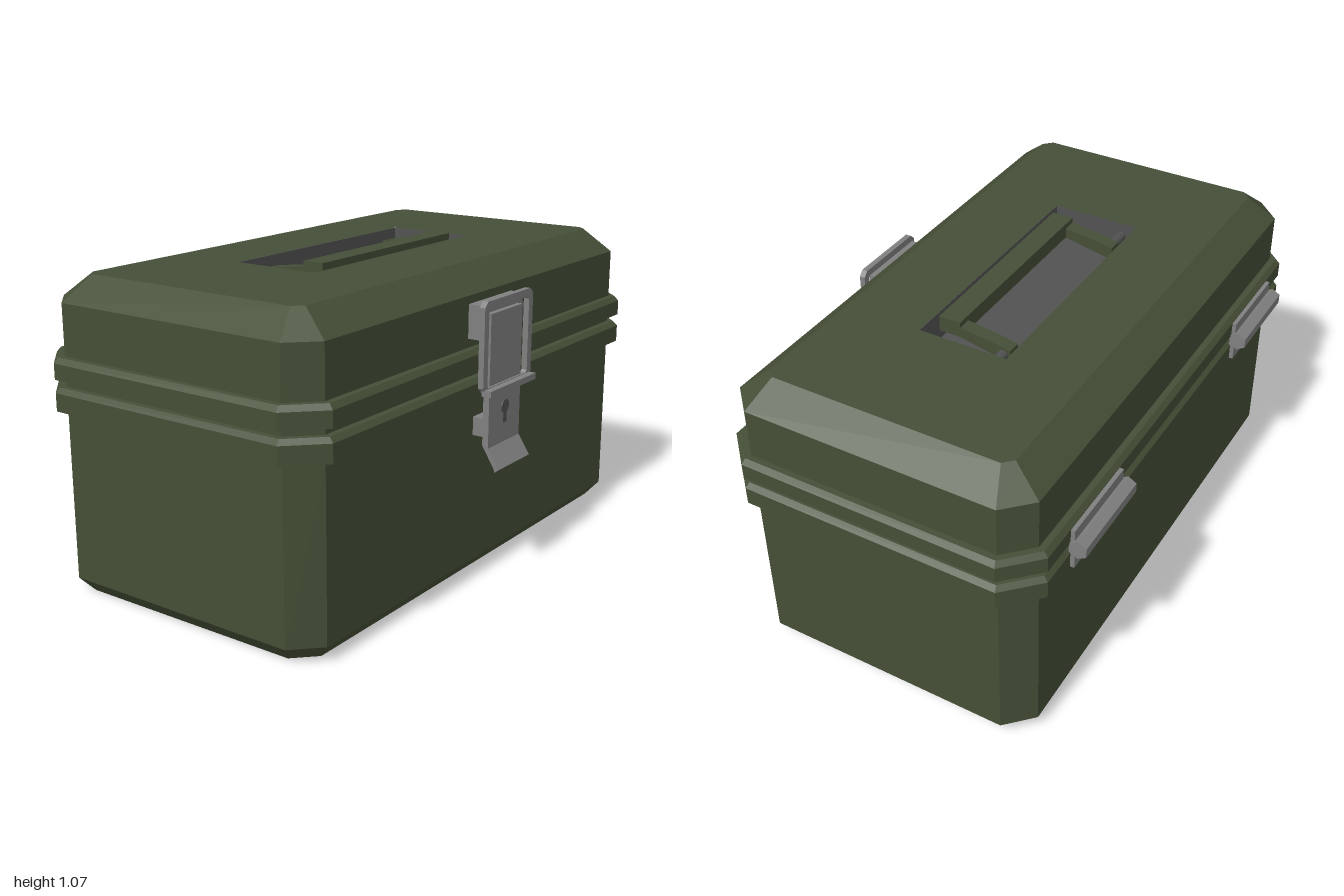
import * as THREE from 'three';

const ZC = -0.008; // depth centre of the box shell

const mat = (name, color) => {
  const m = new THREE.MeshStandardMaterial({ color });
  m.name = name;
  return m;
};

// Chamfered rectangle outline, anticlockwise seen from above
function outline(hx, hz, c) {
  return [[hx, hz - c], [hx, c - hz], [hx - c, -hz], [c - hx, -hz],
    [-hx, c - hz], [-hx, hz - c], [c - hx, hz], [hx - c, hz]];
}

// Faceted shell through rings of [y, half width, half depth, corner chamfer]
function shell(rings, capTop) {
  const pos = [];
  const loops = rings.map(([y, hx, hz, c]) => outline(hx, hz, c).map(([x, z]) => [x, y, z + ZC]));
  const tri = (a, b, c) => pos.push(...a, ...b, ...c);
  for (let r = 0; r < loops.length - 1; r++) {
    for (let i = 0; i < 8; i++) {
      const j = (i + 1) % 8, lo = loops[r], hi = loops[r + 1];
      tri(lo[i], lo[j], hi[j]);
      tri(lo[i], hi[j], hi[i]);
    }
  }
  const base = loops[0], top = loops[loops.length - 1];
  for (let i = 1; i < 7; i++) {
    tri(base[0], base[i + 1], base[i]);
    if (capTop) tri(top[0], top[i], top[i + 1]);
  }
  const g = new THREE.BufferGeometry();
  g.setAttribute('position', new THREE.Float32BufferAttribute(pos, 3));
  g.computeVertexNormals();
  return g;
}

// Box given by its minimum and maximum on each axis
function box(x0, x1, y0, y1, z0, z1) {
  return new THREE.BoxGeometry(x1 - x0, y1 - y0, z1 - z0)
    .translate((x0 + x1) / 2, (y0 + y1) / 2, (z0 + z1) / 2);
}

// Side profile of [z, y] points extruded along x
function prism(points, width, x = 0) {
  const s = new THREE.Shape(points.map(([z, y]) => new THREE.Vector2(-z, y)));
  return new THREE.ExtrudeGeometry(s, { depth: width, bevelEnabled: false })
    .rotateY(Math.PI / 2).translate(x - width / 2, 0, 0);
}

const rectPath = (Type, x0, x1, y0, y1, c) => new Type([
  [x0 + c, y0], [x1 - c, y0], [x1, y0 + c], [x1, y1 - c],
  [x1 - c, y1], [x0 + c, y1], [x0, y1 - c], [x0, y0 + c],
].map(([x, y]) => new THREE.Vector2(x, y)));

export function createModel() {
  const root = new THREE.Group();
  root.name = 'toolbox';
  const green = mat('olive green', 0x454f37);
  const steel = mat('steel grey', 0x808080);
  const dark = mat('dark grey', 0x525252);

  const add = (parent, name, geometry, material) => {
    const m = new THREE.Mesh(geometry, material);
    m.name = name;
    parent.add(m);
    return m;
  };
  const group = (name) => {
    const g = new THREE.Group();
    g.name = name;
    root.add(g);
    return g;
  };

  // Lower box with rim flange and recessed seal
  add(root, 'body', shell([
    [0, 0.92, 0.478, 0.07], [0.053, 0.965, 0.522, 0.087],
    [0.627, 0.965, 0.522, 0.087], [0.627, 1, 0.558, 0.11],
    [0.687, 1, 0.558, 0.11], [0.703, 0.985, 0.543, 0.1],
    [0.703, 0.965, 0.522, 0.087], [0.72, 0.965, 0.522, 0.087],
    [0.72, 0.92, 0.477, 0.075], [0.731, 0.92, 0.477, 0.075],
  ], true), green);

  // Lid walls and sloped shoulder
  add(root, 'lid', shell([
    [0.73, 1, 0.558, 0.11], [0.783, 1, 0.558, 0.11],
    [0.8, 0.985, 0.543, 0.1], [0.8, 0.965, 0.522, 0.087],
    [0.97, 0.965, 0.522, 0.087], [1.05, 0.868, 0.425, 0.03],
  ], false), green);

  // Lid top with the handle opening
  const X = 0.447, ZB = -0.173, ZF = 0.14, FLOOR = 0.95, TOP = 1.05;
  const topShape = new THREE.Shape(
    outline(0.868, 0.425, 0.03).map(([x, z]) => new THREE.Vector2(x, -(z + ZC))));
  topShape.holes.push(rectPath(THREE.Path, -X, X, -ZF, -ZB, 0));
  add(root, 'lidTop', new THREE.ShapeGeometry(topShape)
    .rotateX(-Math.PI / 2).translate(0, TOP, 0), green);

  // Recessed handle tray
  const tray = group('handleTray');
  const T = 0.01, Y1 = TOP - 0.001;
  add(tray, 'trayFloor', box(-X, X, FLOOR - T, FLOOR, ZB, ZF), dark);
  add(tray, 'trayBackWall', box(-X, X, FLOOR, Y1, ZB - T, ZB), dark);
  add(tray, 'trayFrontWall', box(-X, X, FLOOR, Y1, ZF, ZF + T), dark);
  for (const s of [-1, 1]) {
    const side = s < 0 ? 'Right' : 'Left';
    add(tray, 'tray' + side + 'Wall',
      box(s * X - (s < 0 ? T : 0), s * X + (s > 0 ? T : 0), FLOOR, Y1, ZB, ZF), dark);
    // Pivot pin between tray and handle arm
    add(tray, 'pivot' + side, new THREE.CylinderGeometry(0.018, 0.018, 0.08, 8)
      .rotateZ(Math.PI / 2).translate(s * 0.41, 1.0, -0.118), dark);
  }

  // Folded carrying handle
  const handle = group('handle');
  add(handle, 'grip', box(-0.372, 0.372, 1.012, 1.066, 0.038, 0.115), green);
  for (const s of [-1, 1]) {
    add(handle, s < 0 ? 'rightArm' : 'leftArm', prism(
      [[-0.142, 0.975], [0.04, 1.012], [0.04, 1.048], [-0.1, 1.03], [-0.142, 1.02]],
      0.048, s * 0.348), green);
  }

  // Front latch
  const latch = group('latch');
  add(latch, 'upperMount', box(-0.132, 0.132, 0.83, 0.943, 0.5, 0.56), steel);
  add(latch, 'lowerMount', box(-0.09, 0.09, 0.497, 0.56, 0.5, 0.56), steel);
  add(latch, 'latchPlate', prism([
    [0.557, 0.913], [0.557, 0.472], [0.603, 0.398], [0.622, 0.387],
    [0.622, 0.4], [0.579, 0.465], [0.579, 0.913],
  ].map(([z, y], i) => (i === 3 ? [0.605, 0.387] : [z, y])), 0.2), steel);
  const bail = rectPath(THREE.Shape, -0.153, 0.153, 0.66, 0.96, 0.018);
  bail.holes.push(rectPath(THREE.Path, -0.127, 0.127, 0.675, 0.934, 0.008));
  add(latch, 'bail', new THREE.ExtrudeGeometry(bail, { depth: 0.02, bevelEnabled: false })
    .translate(0, 0, 0.567), steel);
  add(latch, 'bailHook', box(-0.145, 0.145, 0.652, 0.673, 0.577, 0.612), steel);

  // Keyhole
  add(latch, 'keyhole', new THREE.CylinderGeometry(0.023, 0.023, 0.006, 12)
    .rotateX(Math.PI / 2).translate(0, 0.588, 0.58), dark);
  add(latch, 'keySlot', box(-0.011, 0.011, 0.532, 0.58, 0.577, 0.582), dark);

  // Rear hinges
  for (const s of [-1, 1]) {
    const hinge = group(s < 0 ? 'rightHinge' : 'leftHinge');
    hinge.position.x = s * 0.598;
    add(hinge, 'barrel', new THREE.CylinderGeometry(0.033, 0.033, 0.33, 6)
      .toNonIndexed().rotateY(Math.PI / 6).rotateZ(Math.PI / 2)
      .translate(0, 0.718, -0.593), steel).geometry.computeVertexNormals();
    add(hinge, 'upperLeaf', box(-0.157, 0.157, 0.728, 0.781, -0.58, -0.56), steel);
    add(hinge, 'lowerLeaf', box(-0.157, 0.157, 0.634, 0.7, -0.58, -0.56), steel);
  }

  return root;
}
